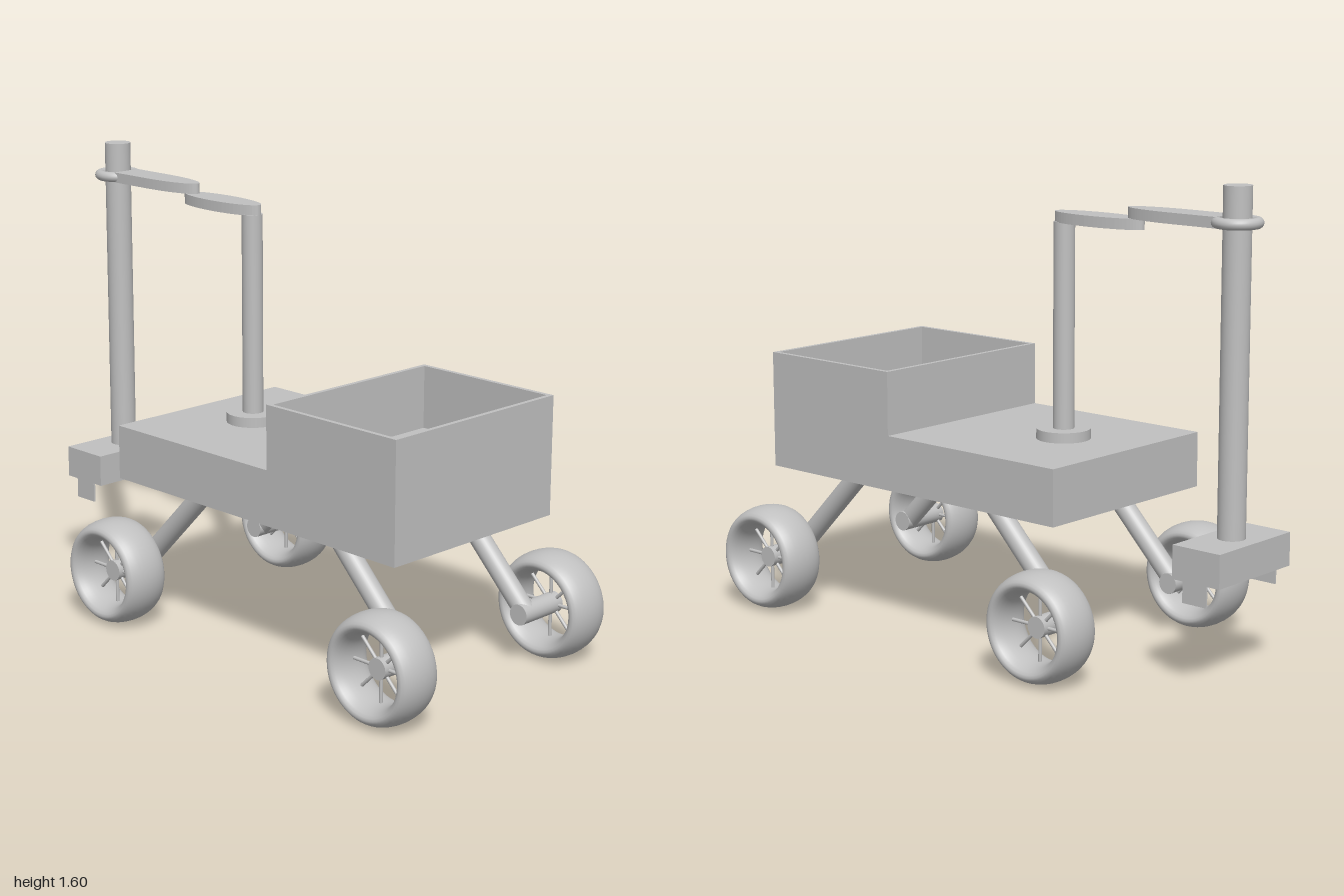
import * as THREE from 'three';

const grey = new THREE.MeshStandardMaterial({ color: 0xc0c0c0 });
grey.name = 'light grey';

export function createModel() {
  const model = new THREE.Group();
  model.name = 'roverCart';

  const add = (name, geometry, x = 0, y = 0, z = 0, parent = model) => {
    const mesh = new THREE.Mesh(geometry, grey);
    mesh.name = name;
    mesh.position.set(x, y, z);
    parent.add(mesh);
    return mesh;
  };
  const rod = (name, radius, from, to, parent = model, sides = 32) => {
    const a = new THREE.Vector3(...from), b = new THREE.Vector3(...to);
    const dir = b.clone().sub(a);
    const mesh = add(name, new THREE.CylinderGeometry(radius, radius, dir.length(), sides), 0, 0, 0, parent);
    mesh.position.copy(a).add(b).multiplyScalar(0.5);
    mesh.quaternion.setFromUnitVectors(new THREE.Vector3(0, 1, 0), dir.normalize());
    return mesh;
  };
  // Extrude a plan shape upwards; shape y points to -z
  const slab = (name, shape, height, y) => {
    const geometry = new THREE.ExtrudeGeometry(shape, { depth: height, bevelEnabled: false, curveSegments: 32 });
    return add(name, geometry.rotateX(-Math.PI / 2), 0, y, 0);
  };
  const rectangle = (Kind, x, z0, z1) => new Kind().moveTo(-x, -z1).lineTo(x, -z1).lineTo(x, -z0).lineTo(-x, -z0).closePath();

  // Chassis with an open cargo bin at the front
  add('chassis', new THREE.BoxGeometry(0.75, 0.19, 1.31), 0, 0.605, 0.175);
  const rim = rectangle(THREE.Shape, 0.375, 0.26, 0.83);
  rim.holes.push(rectangle(THREE.Path, 0.359, 0.276, 0.814));
  slab('cargoBinWalls', rim, 0.22, 0.7);

  // Mast and two-link arm
  add('mastBase', new THREE.CylinderGeometry(0.092, 0.092, 0.035, 48), 0, 0.7175, -0.2);
  rod('mast', 0.036, [0, 0.73, -0.2], [0, 1.432, -0.2]);
  slab('lowerArmLink', new THREE.Shape().absellipse(0, 0.349, 0.055, 0.185, 0, Math.PI * 2), 0.036, 1.43);
  const link = new THREE.Shape();
  link.moveTo(0.055, 0.86).lineTo(-0.055, 0.86).lineTo(-0.055, 0.69);
  link.absellipse(0, 0.69, 0.055, 0.215, Math.PI, Math.PI * 2);
  link.closePath();
  slab('upperArmLink', link, 0.036, 1.466);

  // Tool pole held by a ring, with a two-finger gripper below
  rod('toolPole', 0.046, [0, 0.47, -0.905], [0, 1.6, -0.905]);
  add('poleRing', new THREE.TorusGeometry(0.065, 0.018, 16, 48).rotateX(Math.PI / 2), 0, 1.484, -0.905);
  add('gripperBody', new THREE.BoxGeometry(0.376, 0.112, 0.185), 0, 0.421, -0.9075);
  for (const side of [-1, 1]) {
    add('gripperFinger', new THREE.BoxGeometry(0.007, 0.075, 0.093), side * 0.1845, 0.3325, -0.903);
  }

  // Wheels, spokes, axles and slanted legs
  for (const side of [-1, 1]) {
    for (const [wheelZ, legZ] of [[0.815, 0.47], [-0.46, -0.115]]) {
      const wheel = new THREE.Group();
      wheel.name = (side > 0 ? 'left' : 'right') + (wheelZ > 0 ? 'FrontWheel' : 'RearWheel');
      wheel.position.set(side * 0.413, 0.188, wheelZ);
      model.add(wheel);

      const tyre = new THREE.TorusGeometry(0.151, 0.034, 24, 64).scale(1, 1, 0.083 / 0.034);
      add('tyre', tyre.rotateY(Math.PI / 2), 0, 0, 0, wheel);
      for (let i = 0; i < 8; i++) {
        const a = i * Math.PI / 4, c = Math.cos(a), s = Math.sin(a);
        rod('spoke', 0.006, [0, 0.03 * c, 0.03 * s], [0, 0.125 * c, 0.125 * s], wheel, 10);
      }
      rod('axle', 0.036, [side * -0.168, 0, 0], [side * 0.02, 0, 0], wheel);
      rod('leg', 0.036, [side * 0.282, 0.188, wheelZ], [side * 0.282, 0.54, legZ]);
    }
  }
  return model;
}
